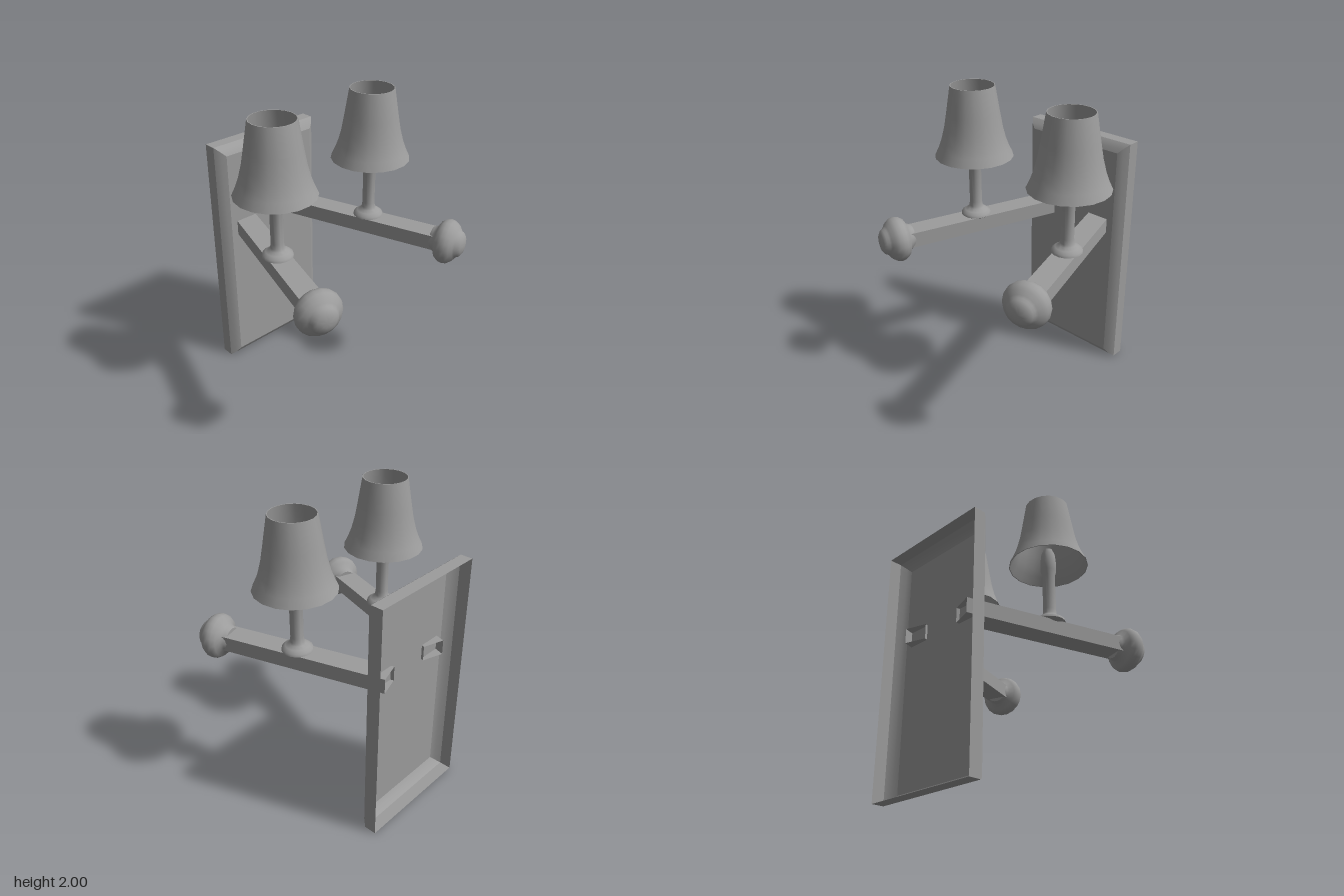
import * as THREE from 'three';
import { mergeVertices, toCreasedNormals } from 'three/addons/utils/BufferGeometryUtils.js';

const grey = new THREE.MeshStandardMaterial({ color: 0x9c9c9c, side: THREE.DoubleSide });
const ARM_ANGLE = 0.307;
const ARM_Y = 1.06;

function part(name, geometry, parent) {
  const mesh = new THREE.Mesh(geometry, grey);
  mesh.name = name;
  parent.add(mesh);
  return mesh;
}

function lathe(points, segments, crease = 0.7) {
  const g = new THREE.LatheGeometry(points.map(([r, y]) => new THREE.Vector2(r, y)), segments);
  g.rotateY(Math.PI / segments);
  return toCreasedNormals(mergeVertices(g), crease);
}

// Hollow back plate, open at the rear: mitred rings that step in towards the front
function plateGeometry() {
  const rings = [[0, -0.67], [0, -0.588], [0.028, -0.555], [0.06, -0.537]];
  const corner = ([inset, z], k) => {
    const sx = k === 0 || k === 3 ? -1 : 1;
    const sy = k < 2 ? -1 : 1;
    return [sx * (0.415 - inset), 0.826 + sy * (0.826 - inset), z];
  };
  const pos = [];
  const quad = (a, b, c, d) => pos.push(...a, ...b, ...c, ...a, ...c, ...d);
  for (let i = 0; i < rings.length - 1; i++) {
    for (let k = 0; k < 4; k++) {
      const n = (k + 1) % 4;
      quad(corner(rings[i], k), corner(rings[i], n), corner(rings[i + 1], n), corner(rings[i + 1], k));
    }
  }
  const front = rings[rings.length - 1];
  quad(...[0, 1, 2, 3].map((k) => corner(front, k)));
  const g = new THREE.BufferGeometry();
  g.setAttribute('position', new THREE.Float32BufferAttribute(pos, 3));
  return toCreasedNormals(g, 0.45);
}

// One arm with its end knob, candle holder and shade
function createSconce(name, side) {
  const sconce = new THREE.Group();
  sconce.name = name;
  sconce.position.set(side * 0.402, 0, -0.003);

  const armGroup = new THREE.Group();
  armGroup.name = 'armAssembly';
  armGroup.position.set(side * -0.003, ARM_Y, 0);
  armGroup.rotation.y = side * ARM_ANGLE;
  sconce.add(armGroup);

  // Hollow square arm: the box without its end caps, from behind the plate into the knob
  const arm = new THREE.BoxGeometry(0.148, 0.1, 1.125);
  arm.setIndex([...arm.index.array.slice(0, 24)]);
  arm.clearGroups();
  arm.translate(0, 0, -0.043);
  part('arm', arm, armGroup);

  // Knob turned around the arm's axis
  const knob = lathe([
    [0, -0.1], [0.075, -0.1], [0.085, -0.082], [0.092, -0.064], [0.126, -0.048], [0.143, -0.023],
    [0.148, 0], [0.143, 0.028], [0.126, 0.053], [0.102, 0.07], [0.09, 0.081], [0.082, 0.096],
    [0.06, 0.112], [0.03, 0.12], [0, 0.122],
  ], 18, 0.8);
  knob.rotateX(Math.PI / 2);
  part('knob', knob, armGroup).position.z = 0.576;

  // Foot, stem and socket in one turned profile
  part('candleStem', lathe([
    [0, 1.1], [0.07, 1.1], [0.1, 1.118], [0.096, 1.134], [0.075, 1.15], [0.052, 1.164],
    [0.045, 1.18], [0.041, 1.21], [0.041, 1.46], [0.05, 1.495], [0.051, 1.56],
    [0.045, 1.62], [0.03, 1.66], [0, 1.66],
  ], 18, 0.8), sconce);

  // Flared shade with a thin wall, open at both ends
  const outer = [[0.258, 1.535], [0.232, 1.59], [0.212, 1.645], [0.191, 1.725], [0.174, 1.82], [0.144, 2]];
  const inner = outer.map(([r, y]) => [r - 0.005, y]).reverse();
  part('shade', lathe([...outer, ...inner, outer[0]], 18), sconce);
  return sconce;
}

export function createModel() {
  const model = new THREE.Group();
  model.name = 'wallLamp';
  part('backPlate', plateGeometry(), model);
  model.add(createSconce('leftSconce', 1), createSconce('rightSconce', -1));
  return model;
}
